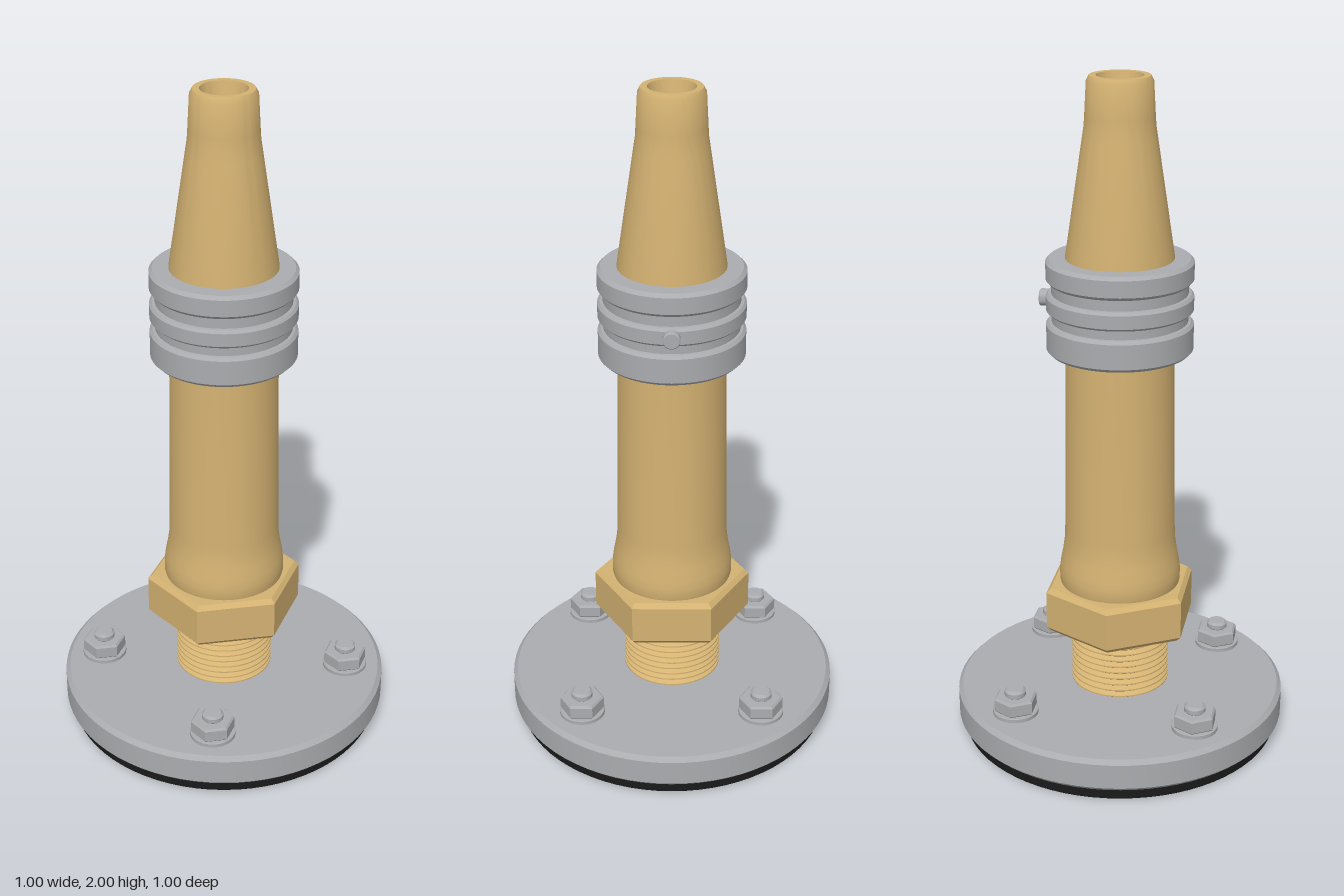
import * as THREE from 'three';
import { toCreasedNormals } from 'three/addons/utils/BufferGeometryUtils.js';

const brass = new THREE.MeshStandardMaterial({ color: 0xd4b272 });
brass.name = 'brass';
const steel = new THREE.MeshStandardMaterial({ color: 0xaaacaf });
steel.name = 'steel grey';
const rubber = new THREE.MeshStandardMaterial({ color: 0x1a1a1a });
rubber.name = 'black rubber';

// Turned part from [radius, height] pairs, listed from the bottom upwards
function turned(name, profile, material, sides = 72) {
  const points = profile.map(([r, y]) => new THREE.Vector2(r, y));
  const mesh = new THREE.Mesh(toCreasedNormals(new THREE.LatheGeometry(points, sides), 0.5), material);
  mesh.name = name;
  return mesh;
}

// Solid disc, or hexagon with 6 sides, with bevelled rims
function bevelled(name, r, y0, y1, bevel, material, sides) {
  return turned(name, [
    [0, y0], [r - bevel, y0], [r, y0 + bevel], [r, y1 - bevel], [r - bevel, y1], [0, y1],
  ], material, sides);
}

export function createModel() {
  const model = new THREE.Group();
  model.name = 'nozzle on flange';

  // Base: rubber gasket under a round flange
  model.add(bevelled('gasket', 0.48, 0, 0.045, 0.004, rubber));
  model.add(bevelled('flange', 0.5, 0.035, 0.137, 0.013, steel));

  // Four bolts, each with washer, hex nut and stud
  for (const x of [-0.27, 0.27]) {
    for (const z of [-0.27, 0.27]) {
      const bolt = new THREE.Group();
      bolt.name = 'bolt';
      bolt.add(bevelled('washer', 0.068, 0.13, 0.15, 0.002, steel, 32));
      bolt.add(bevelled('nut', 0.066, 0.148, 0.194, 0.006, steel, 6));
      bolt.add(bevelled('stud', 0.032, 0.19, 0.217, 0.007, steel, 24));
      bolt.position.set(x, 0, z);
      model.add(bolt);
    }
  }

  // Threaded neck with V-shaped ridges
  const thread = [[0.135, 0.13]];
  const turns = 10;
  const pitch = 0.2 / turns;
  for (let i = 0; i < turns; i++) {
    const y = 0.137 + i * pitch;
    thread.push([0.135, y], [0.148, y + pitch * 0.4], [0.148, y + pitch * 0.6]);
  }
  thread.push([0.135, 0.337], [0.135, 0.345]);
  model.add(turned('threadedNeck', thread, brass));

  // Large hexagonal nut
  model.add(bevelled('hexNut', 0.236, 0.335, 0.477, 0.014, brass, 6));

  // Main barrel with a flared foot
  model.add(turned('barrel', [
    [0.178, 0.47], [0.182, 0.485], [0.182, 0.515], [0.179, 0.54], [0.172, 0.575],
    [0.167, 0.61], [0.165, 0.65], [0.158, 1.22],
  ], brass));

  // Collar with two grooves
  model.add(turned('collar', [
    [0.15, 1.207], [0.203, 1.207], [0.213, 1.217], [0.213, 1.29], [0.205, 1.299],
    [0.197, 1.3], [0.197, 1.327], [0.206, 1.328], [0.213, 1.335], [0.213, 1.374],
    [0.206, 1.382], [0.197, 1.383], [0.197, 1.415], [0.205, 1.416], [0.213, 1.425],
    [0.213, 1.474], [0.203, 1.484], [0.15, 1.484],
  ], steel));

  // Locating pin on the left of the collar
  const pin = bevelled('collarPin', 0.025, 0.19, 0.234, 0.003, steel, 24);
  pin.rotation.z = -Math.PI / 2;
  pin.position.y = 1.355;
  model.add(pin);

  // Tapered nozzle with a recessed mouth
  model.add(turned('nozzle', [
    [0.157, 1.47], [0.156, 1.49], [0.107, 1.82], [0.101, 1.86], [0.099, 1.89], [0.094, 1.985],
    [0.086, 2], [0.067, 2], [0.057, 1.95], [0, 1.95],
  ], brass));

  return model;
}
